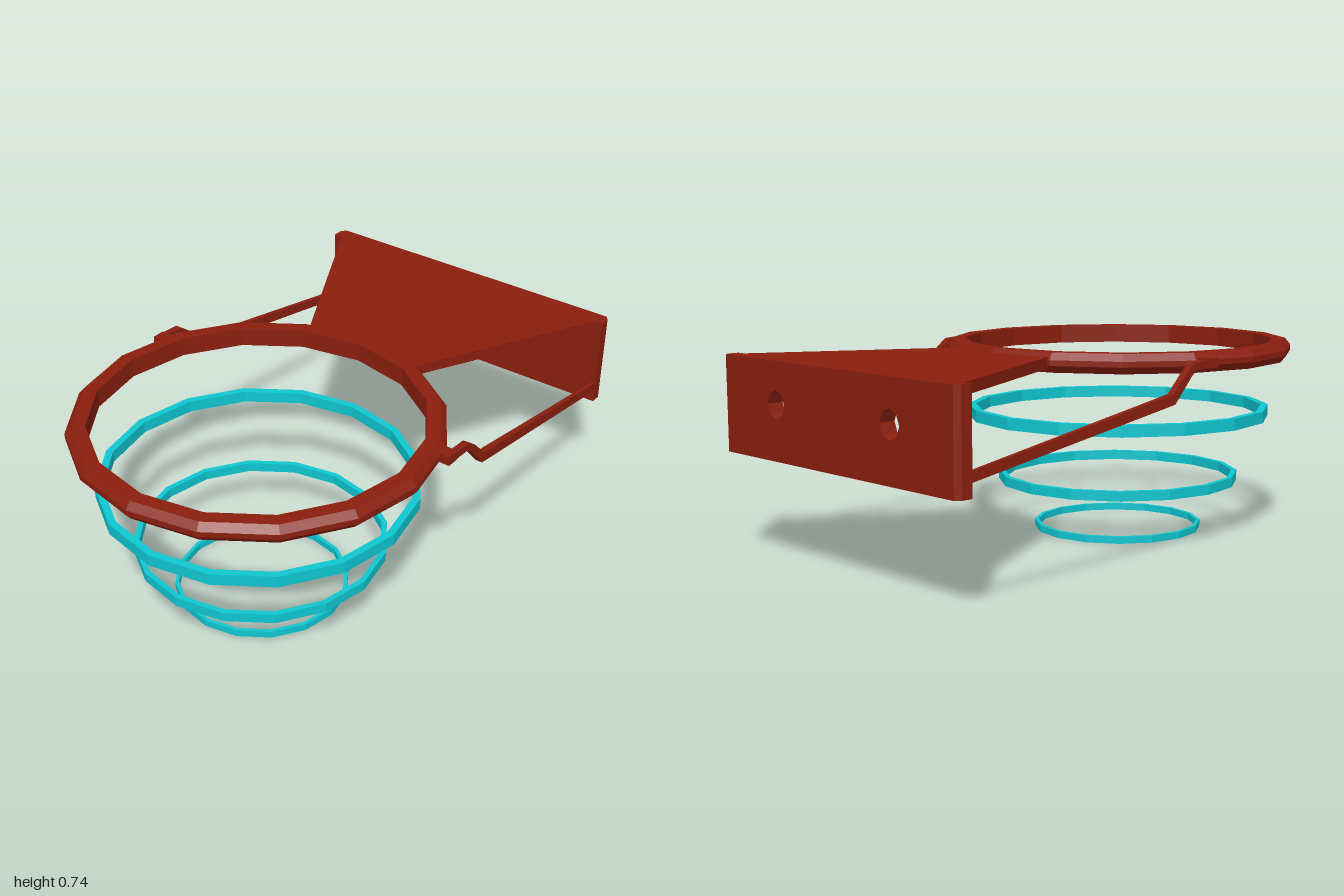
import * as THREE from 'three';

const RED = new THREE.MeshStandardMaterial({ color: 0x8a1f0e, flatShading: true });
const CYAN = new THREE.MeshStandardMaterial({ color: 0x0fc6d0, flatShading: true });
const HOOP_Z = 0.345;

function add(group, name, geometry, material) {
  const mesh = new THREE.Mesh(geometry, material);
  mesh.name = name;
  group.add(mesh);
  return mesh;
}

// Closed 16-sided ring turned from a [radius, y] profile
function ring(profile) {
  const points = [...profile, profile[0]].map(([r, y]) => new THREE.Vector2(r, y));
  return new THREE.LatheGeometry(points, 16).translate(0, 0, HOOP_Z);
}

function polygon(points) {
  return new THREE.Shape(points.map(([a, b]) => new THREE.Vector2(a, b)));
}

// Reshape a geometry by moving every vertex with a rule
function moveVertices(geometry, rule) {
  const pos = geometry.attributes.position;
  const v = new THREE.Vector3();
  for (let i = 0; i < pos.count; i++) {
    rule(v.fromBufferAttribute(pos, i));
    pos.setXYZ(i, v.x, v.y, v.z);
  }
  geometry.computeVertexNormals();
  return geometry;
}

export function createModel() {
  const model = new THREE.Group();
  model.name = 'basketballHoop';

  // Rim with a bevelled outer edge
  add(model, 'rim', ring([
    [0.585, 0.665], [0.635, 0.665], [0.656, 0.69], [0.656, 0.71],
    [0.635, 0.735], [0.585, 0.735],
  ]), RED);

  // Three floating net hoops, shrinking downwards
  const hoops = [[0.575, 0.548, 0.437, 0.48], [0.46, 0.44, 0.187, 0.223], [0.32, 0.306, 0, 0.026]];
  hoops.forEach(([outer, inner, bottom, top], i) => {
    add(model, 'netHoop' + (i + 1), ring([
      [inner, bottom], [outer, bottom], [outer, top], [inner, top],
    ]), CYAN);
  });

  // Wall plate with two octagonal bolt holes and bevelled back corners
  const plate = polygon([[-0.63, 0.375], [0.63, 0.375], [0.63, 0.72], [-0.63, 0.72]]);
  for (const x of [-0.31, 0.31]) {
    const hole = [];
    for (let i = 0; i < 8; i++) {
      const a = (i / 8) * Math.PI * 2;
      hole.push(new THREE.Vector2(x + 0.05 * Math.cos(a), 0.57 + 0.05 * Math.sin(a)));
    }
    plate.holes.push(new THREE.Path(hole));
  }
  const plateGeometry = new THREE.ExtrudeGeometry(plate, { depth: 0.06, steps: 3, bevelEnabled: false });
  moveVertices(plateGeometry.translate(0, 0, -1), (v) => {
    if (v.z < -0.99 && Math.abs(v.x) > 0.6) v.x = Math.sign(v.x) * 0.615;
  });
  add(model, 'wallPlate', plateGeometry, RED);

  // Tapered top plate joining the wall plate to the rim (shape drawn as x, -z)
  const top = polygon([
    [-0.615, 0.98], [-0.235, 0.25], [0, 0.29], [0.235, 0.25], [0.615, 0.98],
  ]);
  const topGeometry = new THREE.ExtrudeGeometry(top, { depth: 0.04, bevelEnabled: false });
  topGeometry.rotateX(-Math.PI / 2).translate(0, 0.68, 0);
  add(model, 'topPlate', topGeometry, RED);

  // Bent side struts and the lugs that fix them to the rim (side shape drawn as z, y)
  const side = polygon([
    [0.155, 0.69], [0.04, 0.685], [0.015, 0.665], [-0.065, 0.577], [-0.96, 0.42],
    [-0.96, 0.455], [-0.075, 0.612], [-0.01, 0.68], [0.03, 0.71], [0.155, 0.718],
  ]);
  for (const [s, label] of [[1, 'left'], [-1, 'right']]) {
    const strut = new THREE.ExtrudeGeometry(side, { depth: 0.02, bevelEnabled: false });
    strut.translate(0, 0, -0.01).rotateY(-Math.PI / 2);
    moveVertices(strut, (v) => {
      const t = THREE.MathUtils.clamp((v.z + 0.96) / 0.96, 0, 1);
      v.x = v.x * (0.7 + 0.6 * t) + s * (0.622 + 0.02 * t);
    });
    add(model, label + 'Strut', strut, RED);

    const lug = new THREE.BoxGeometry(0.07, 0.034, 0.05);
    add(model, label + 'Lug', lug, RED).position.set(s * 0.62, 0.702, 0.13);
  }

  return model;
}
